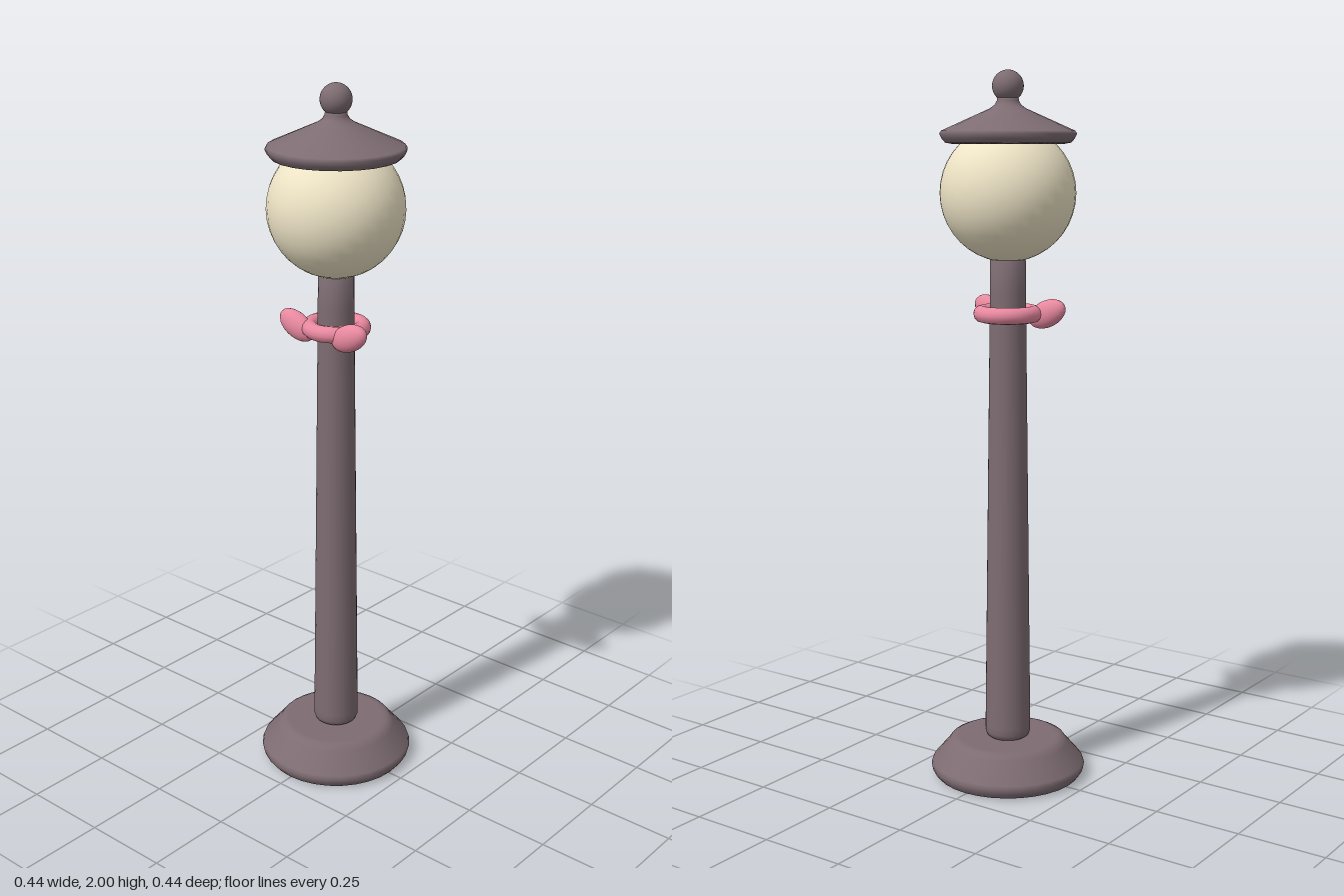
import * as THREE from 'three';

const metal = new THREE.MeshStandardMaterial({ color: 0x7d6c72 });
const glass = new THREE.MeshStandardMaterial({ color: 0xeee4c6 });
const ribbon = new THREE.MeshStandardMaterial({ color: 0xe8889f });

// Solid of revolution from [radius, height] pairs, bottom to top
function turned(name, profile, sides) {
  const points = profile.map(([r, y]) => new THREE.Vector2(r, y));
  const mesh = new THREE.Mesh(new THREE.LatheGeometry(points, sides), metal);
  mesh.name = name;
  return mesh;
}

function ball(name, radius, y, material) {
  const mesh = new THREE.Mesh(new THREE.SphereGeometry(radius, 32, 20), material);
  mesh.name = name;
  mesh.position.y = y;
  return mesh;
}

// Ribbon ring round the post with two tilted loops at the front
function createBow() {
  const bow = new THREE.Group();
  bow.name = 'bow';
  bow.position.y = 1.34;

  const band = new THREE.Mesh(new THREE.TorusGeometry(0.073, 0.023, 12, 32), ribbon);
  band.name = 'ribbonBand';
  band.rotation.x = Math.PI / 2;
  bow.add(band);

  for (const side of [-1, 1]) {
    const loop = new THREE.Mesh(new THREE.SphereGeometry(1, 20, 14), ribbon);
    loop.name = side > 0 ? 'leftBowLoop' : 'rightBowLoop';
    loop.scale.set(0.062, 0.037, 0.027);
    loop.position.set(side * 0.093, 0, 0.056);
    loop.rotation.z = side * 0.42;
    bow.add(loop);
  }
  return bow;
}

export function createModel() {
  const lamp = new THREE.Group();
  lamp.name = 'streetLamp';

  // Flared foot with rounded rims
  lamp.add(turned('base', [
    [0, 0], [0.2, 0], [0.208, 0.003], [0.218, 0.016], [0.222, 0.03], [0.218, 0.042],
    [0.172, 0.096], [0.165, 0.106], [0.152, 0.112], [0.14, 0.113], [0, 0.113],
  ], 32));

  // Tapered post with a softened lower edge
  lamp.add(turned('post', [
    [0, 0.111], [0.052, 0.112], [0.06, 0.118], [0.065, 0.13], [0.065, 0.15],
    [0.05, 1.4], [0.049, 1.52], [0, 1.52],
  ], 24));

  lamp.add(createBow());
  lamp.add(ball('globe', 0.187, 1.67, glass));

  // Conical cap with a thin rim and a short neck
  lamp.add(turned('cap', [
    [0, 1.803], [0.155, 1.803], [0.172, 1.806], [0.182, 1.817], [0.188, 1.83], [0.183, 1.838],
    [0.05, 1.897], [0.036, 1.907], [0.03, 1.918], [0.028, 1.935], [0, 1.935],
  ], 24));
  lamp.add(ball('finial', 0.043, 1.957, metal));

  return lamp;
}
